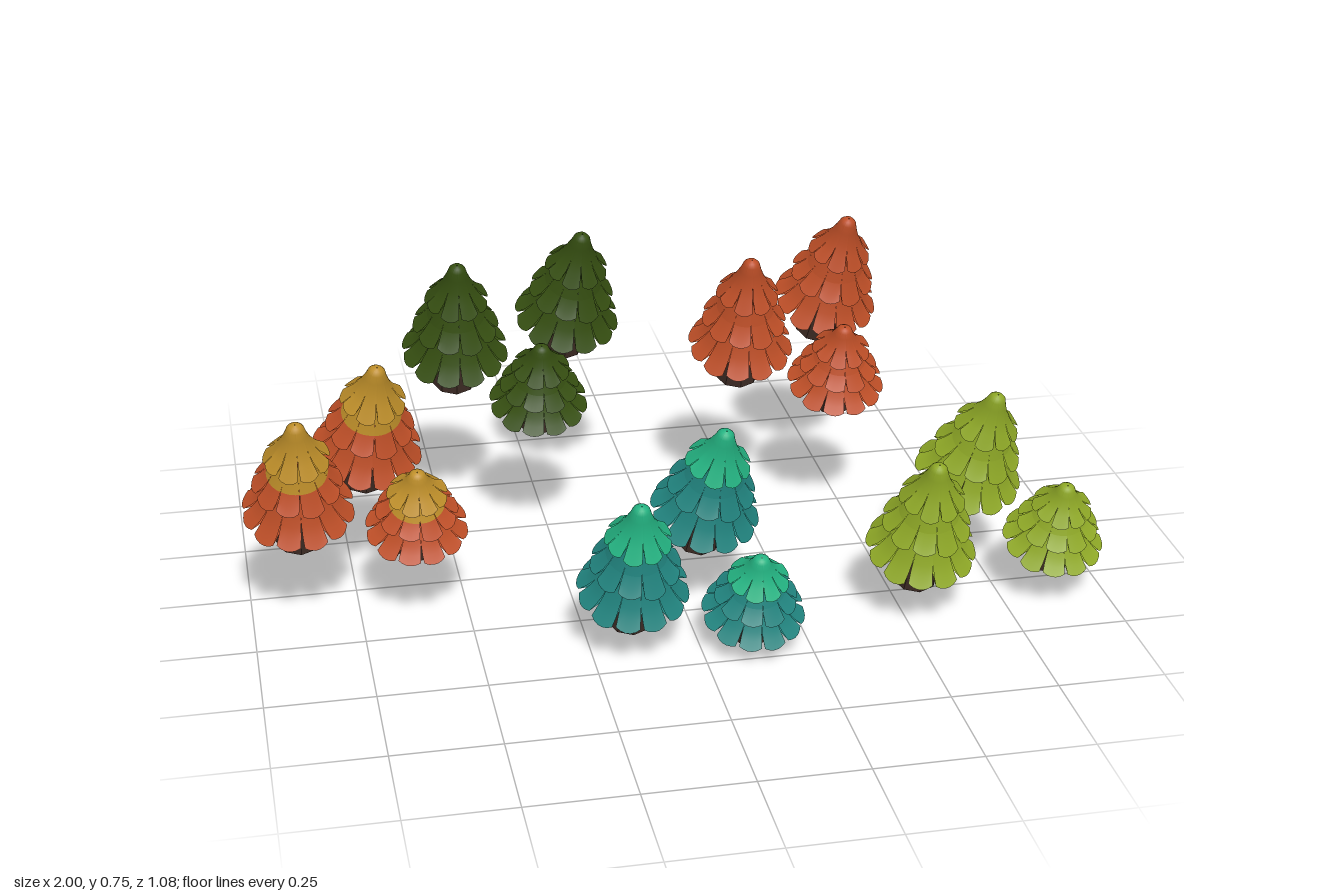
import * as THREE from 'three';

const flat = (name, color, side = THREE.DoubleSide) => {
  const m = new THREE.MeshStandardMaterial({ color, side });
  m.name = name;
  return m;
};

// Repeatable variation for the petal lengths
const wobble = (i, k) => Math.sin(i * 2.4 + k * 1.7) * 0.6 + Math.sin(i * 5.1 + k) * 0.4;

// Ring of petals swept along a [radius, height] profile; slit is the share of
// each petal left at each profile row, so gaps open towards the rim.
function petalRing(profile, slit, count, seed) {
  const pos = [], index = [], cols = 5;
  for (let p = 0; p < count; p++) {
    const start = pos.length / 3;
    profile.forEach(([r, h], row) => {
      const cut = 1 - slit[row];
      for (let c = 0; c <= cols; c++) {
        const u = c / cols - 0.5;
        const a = ((p + 0.5 + u * slit[row]) * Math.PI * 2) / count;
        const bulge = r * (1 + cut * 0.35 * (0.5 - 4 * u * u * 0.8));
        const drop = cut * 0.05 * wobble(p, seed) - cut * 0.25 * u * u;
        pos.push(Math.sin(a) * bulge, h - drop, Math.cos(a) * bulge);
      }
    });
    for (let row = 0; row < profile.length - 1; row++) {
      for (let c = 0; c < cols; c++) {
        const i = start + row * (cols + 1) + c, j = i + cols + 1;
        index.push(i, j, i + 1, i + 1, j, j + 1);
      }
    }
  }
  const g = new THREE.BufferGeometry();
  g.setAttribute('position', new THREE.Float32BufferAttribute(pos, 3));
  g.setIndex(index);
  g.computeVertexNormals();
  return g;
}

// Tiers from top to bottom: outer profile, petal share per row, petal count
const tiers = [
  { count: 9, rows: [[0.001, 0.392], [0.012, 0.389], [0.02, 0.38], [0.026, 0.36], [0.037, 0.333], [0.053, 0.305], [0.075, 0.275]],
    slit: [1, 1, 1, 1, 1, 0.97, 0.87] },
  { count: 10, rows: [[0.04, 0.295], [0.054, 0.262], [0.07, 0.232], [0.085, 0.208], [0.102, 0.188]],
    slit: [1, 1, 0.99, 0.94, 0.86] },
  { count: 12, rows: [[0.06, 0.205], [0.075, 0.172], [0.092, 0.143], [0.108, 0.12], [0.127, 0.1]],
    slit: [1, 1, 0.98, 0.93, 0.86] },
];

// Outer surfaces, with the middle tier in an upper and a lower part, and undersides
const parts = [];
tiers.forEach(({ rows, slit, count }, k) => {
  const split = k === 1 ? 2 : 0;
  if (split) {
    parts.push({ name: 'middleTierUpper', tier: k, upper: true,
      geo: petalRing(rows.slice(0, split + 1), slit.slice(0, split + 1), count, k) });
  }
  parts.push({ name: ['topTier', 'middleTierLower', 'bottomTier'][k], tier: k,
    geo: petalRing(rows.slice(split), slit.slice(split), count, k) });
  const [r, h] = rows[rows.length - 1], s = slit[slit.length - 1];
  parts.push({ name: 'tierUnderside', tier: k,
    geo: petalRing([[r, h], [r * 0.9, h + 0.003], [r * 0.3, h + 0.035]], [s, s, 1], count, k) });
});

// Flared, slightly faceted trunk
const trunkGeo = new THREE.CylinderGeometry(0.036, 0.056, 0.2, 9, 3).toNonIndexed();
trunkGeo.translate(0, 0.1, 0);
trunkGeo.computeVertexNormals();

const slope = 0.4084; // the hillside rises towards the back
const groundY = (z) => 0.203 - Math.tan(slope) * z;

export function createModel() {
  const bark = flat('bark brown', 0x46322a, THREE.FrontSide);
  const orange = flat('autumn orange', 0xbf4f27);
  const gold = flat('gold', 0xc0902a);
  const pine = flat('dark pine green', 0x364f11);
  const teal = flat('teal', 0x21847f);
  const mint = flat('mint green', 0x24b583);
  const lime = flat('lime green', 0x90aa27);

  function makeTree(body, crown, crownDepth) {
    const tree = new THREE.Group();
    tree.name = 'tree';
    const trunk = new THREE.Mesh(trunkGeo, bark);
    trunk.name = 'trunk';
    tree.add(trunk);
    for (const { name, tier, upper, geo } of parts) {
      const crowned = tier === 0 || (upper && crownDepth > 1);
      const mesh = new THREE.Mesh(geo, crowned ? crown : body);
      mesh.name = name;
      tree.add(mesh);
    }
    return tree;
  }

  // Each grove: straight tree, leaning tree, short tree, as [x, z] of the trunk foot
  const groves = [
    { name: 'goldTippedGrove', body: orange, crown: gold, depth: 2, at: [[-0.878, 0.037], [-0.71, -0.12], [-0.61, 0.088]] },
    { name: 'pineGrove', body: pine, crown: pine, depth: 1, at: [[-0.455, -0.388], [-0.172, -0.473], [-0.27, -0.243]] },
    { name: 'tealGrove', body: teal, crown: mint, depth: 1, at: [[-0.148, 0.334], [0.052, 0.137], [0.123, 0.397]] },
    { name: 'orangeGrove', body: orange, crown: orange, depth: 1, at: [[0.252, -0.338], [0.49, -0.463], [0.473, -0.229]] },
    { name: 'limeGrove', body: lime, crown: lime, depth: 1, at: [[0.544, 0.295], [0.705, 0.1], [0.878, 0.281]] },
  ];

  const model = new THREE.Group();
  model.name = 'hillsideTrees';
  groves.forEach(({ name, body, crown, depth, at }) => {
    const grove = new THREE.Group();
    grove.name = name;
    at.forEach(([x, z], k) => {
      const tree = makeTree(body, crown, depth);
      tree.position.set(x, groundY(z), z);
      tree.rotation.set(slope + (k === 1 ? 0.04 : 0), 0, k === 1 ? -0.08 : 0);
      if (k === 2) tree.scale.set(0.92, 0.66, 0.92);
      grove.add(tree);
    });
    model.add(grove);
  });
  return model;
}
